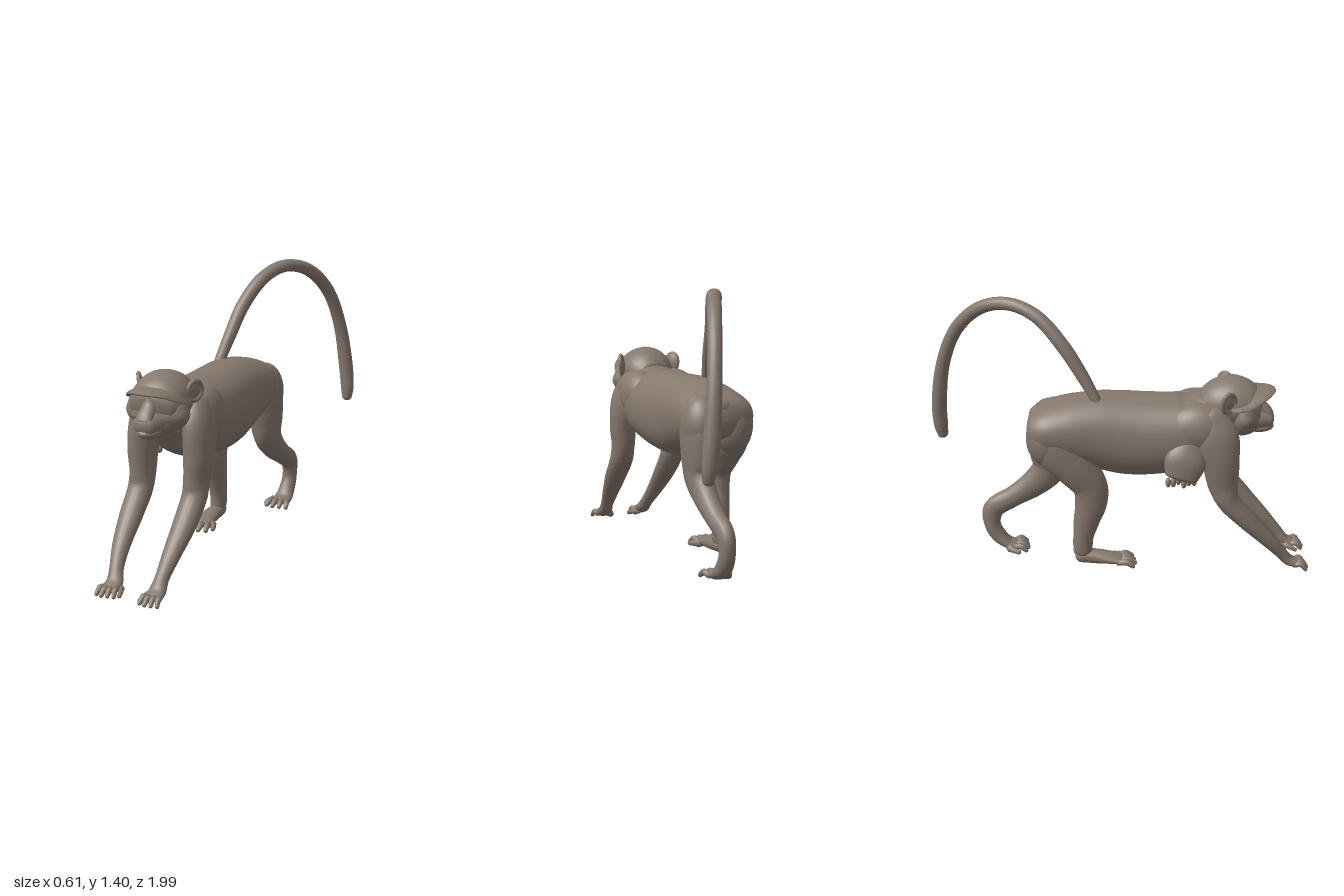
import * as THREE from 'three';

const fur = new THREE.MeshStandardMaterial({ color: 0x85786d });
fur.name = 'greyBrownFur';
const MID = -0.045; // centre line of the body in x

function add(group, name, geometry) {
  const mesh = new THREE.Mesh(geometry, fur);
  mesh.name = name;
  group.add(mesh);
  return mesh;
}

// Smooth skin through oval stations [x, y, z, half width, half depth], with rounded ends.
function loft(stations, sides = 20, steps = 5, cap = 0.8, square = 1) {
  const curve = new THREE.CatmullRomCurve3(stations.map(s => new THREE.Vector3(s[0], s[1], s[2])));
  const sizes = new THREE.CatmullRomCurve3(stations.map(s => new THREE.Vector3(s[3], s[4], 0)));
  const n = (stations.length - 1) * steps;
  const pos = [], index = [], rings = [];
  const round = v => Math.sign(v) * Math.abs(v) ** square;
  for (const k of [0.02, 0.35, 0.7, 0.92]) rings.push([0, k, -1]);
  for (let i = 0; i <= n; i++) rings.push([i / n, 1, 0]);
  for (const k of [0.92, 0.7, 0.35, 0.02]) rings.push([1, k, 1]);
  for (const [t, k, end] of rings) {
    const c = curve.getPoint(t), r = sizes.getPoint(t), T = curve.getTangent(t);
    const S = new THREE.Vector3(1, 0, 0).addScaledVector(T, -T.x).normalize();
    const U = new THREE.Vector3().crossVectors(T, S);
    c.addScaledVector(T, end * cap * Math.min(r.x, r.y) * Math.sqrt(1 - k * k));
    for (let j = 0; j < sides; j++) {
      const a = j / sides * Math.PI * 2;
      const p = c.clone().addScaledVector(S, r.x * k * round(Math.cos(a)))
        .addScaledVector(U, r.y * k * round(Math.sin(a)));
      pos.push(p.x, p.y, p.z);
    }
  }
  for (let i = 0; i < rings.length - 1; i++)
    for (let j = 0; j < sides; j++) {
      const a = i * sides + j, b = i * sides + (j + 1) % sides;
      index.push(a, b, b + sides, a, b + sides, a + sides);
    }
  const g = new THREE.BufferGeometry();
  g.setAttribute('position', new THREE.Float32BufferAttribute(pos, 3));
  g.setIndex(index);
  g.computeVertexNormals();
  return g;
}

function blob(group, name, center, radii, rotX = 0, rotZ = 0) {
  const m = add(group, name, new THREE.SphereGeometry(1, 28, 18));
  m.position.set(...center);
  m.scale.set(...radii);
  m.rotation.set(rotX, 0, rotZ);
  return m;
}

// Four knuckled digits fanning forward, and a thumb on the inner side.
function digits(group, name, x, y, z, length, spread, r, inner, floor) {
  for (let i = 0; i < 4; i++) {
    const f = (i - 1.5) / 1.5, l = length * (1 - 0.2 * Math.abs(f + 0.2));
    add(group, name, loft([
      [x + f * spread * 0.65, y, z - 0.01, r, r],
      [x + f * spread * 0.85, y + 0.01, z + l * 0.45, r * 1.1, r * 1.1],
      [x + f * spread, floor + r, z + l, r * 0.75, r * 0.75]], 8, 3));
  }
  add(group, name + 'Thumb', loft([
    [x + inner * spread * 0.5, y, z - 0.045, r, r],
    [x + inner * spread * 1.1, y - 0.004, z - 0.015, r, r],
    [x + inner * spread * 1.35, floor + r, z + 0.02, r * 0.8, r * 0.8]], 8, 3));
}

function buildHead() {
  const head = new THREE.Group();
  head.name = 'head';
  add(head, 'skull', loft([
    [MID, 0.88, 0.44, 0.10, 0.085], [MID, 0.895, 0.50, 0.132, 0.118], [MID, 0.9, 0.57, 0.145, 0.133],
    [MID, 0.885, 0.64, 0.143, 0.118], [MID, 0.87, 0.69, 0.12, 0.085]], 28, 5, 0.3));
  // Broad flat face with cheek fur, narrowing to the chin
  add(head, 'face', loft([
    [MID, 0.945, 0.635, 0.125, 0.065], [MID, 0.89, 0.63, 0.155, 0.08], [MID, 0.845, 0.632, 0.168, 0.085],
    [MID, 0.805, 0.64, 0.15, 0.085], [MID, 0.775, 0.655, 0.105, 0.08]], 32, 5, 0.45));
  // Brow: a flat visor whose sides droop
  const brow = new THREE.SphereGeometry(1, 32, 16);
  const p = brow.attributes.position;
  for (let i = 0; i < p.count; i++) {
    const x = p.getX(i) * 0.155, z = p.getZ(i) * 0.185;
    p.setXYZ(i, MID + x, 0.95 + p.getY(i) * 0.024 - 80 * x ** 4 - 0.4 * x * x + z * 0.07, 0.605 + z);
  }
  brow.computeVertexNormals();
  add(head, 'brow', brow);
  add(head, 'nose', loft([
    [MID, 0.935, 0.69, 0.035, 0.03], [MID, 0.89, 0.71, 0.036, 0.028],
    [MID, 0.85, 0.75, 0.042, 0.025], [MID, 0.832, 0.768, 0.04, 0.018]], 16));
  add(head, 'muzzle', loft([
    [MID, 0.815, 0.64, 0.10, 0.06], [MID, 0.81, 0.71, 0.078, 0.056], [MID, 0.806, 0.765, 0.058, 0.044]], 22, 5, 0.5));
  blob(head, 'jaw', [MID, 0.77, 0.71], [0.062, 0.032, 0.078]);
  for (const s of [-1, 1]) {
    // Cupped ear turned partly forward
    const ear = new THREE.Group();
    ear.name = 'ear';
    blob(ear, 'earCup', [0, 0, -0.004], [0.042, 0.052, 0.014]);
    const rim = add(ear, 'earRim', new THREE.TorusGeometry(0.038, 0.011, 10, 28));
    rim.scale.set(1, 1.25, 1);
    ear.position.set(MID + s * 0.15, 0.943, 0.545);
    ear.rotation.set(0, s * 1.05, -s * 0.12, 'ZYX');
    head.add(ear);
  }
  return head;
}

function buildArm(s) {
  const arm = new THREE.Group();
  arm.name = s > 0 ? 'leftArm' : 'rightArm';
  const X = d => MID + s * d;
  const handX = s > 0 ? 0.085 : -0.15;
  add(arm, 'armLimb', loft([
    [X(0.115), 0.85, 0.45, 0.07, 0.09], [X(0.145), 0.75, 0.485, 0.075, 0.118], [X(0.155), 0.62, 0.515, 0.071, 0.094],
    [X(0.15), 0.50, 0.53, 0.062, 0.077], [X(0.15), 0.42, 0.555, 0.064, 0.06], [X(0.148), 0.31, 0.65, 0.06, 0.05],
    [X(0.138), 0.19, 0.765, 0.046, 0.038], [(X(0.132) + handX) / 2, 0.10, 0.845, 0.036, 0.03],
    [handX, 0.053, 0.885, 0.044, 0.027], [handX, 0.038, 0.925, 0.046, 0.02]]));
  digits(arm, 'finger', handX, 0.034, 0.925, 0.058, 0.046, 0.014, -s, 0.003);
  return arm;
}

function buildLegs() {
  const legs = new THREE.Group();
  legs.name = 'hindLegs';
  // Left leg pushes off behind
  add(legs, 'leftLeg', loft([
    [0.03, 0.81, -0.32, 0.085, 0.09], [0.045, 0.70, -0.345, 0.092, 0.122], [0.05, 0.58, -0.355, 0.085, 0.113],
    [0.055, 0.48, -0.365, 0.07, 0.092], [0.055, 0.39, -0.445, 0.058, 0.073], [0.055, 0.31, -0.56, 0.05, 0.056],
    [0.052, 0.24, -0.665, 0.042, 0.056], [0.05, 0.15, -0.675, 0.04, 0.044],
    [0.05, 0.08, -0.64, 0.044, 0.04], [0.05, 0.04, -0.59, 0.052, 0.027], [0.05, 0.034, -0.55, 0.053, 0.019]]));
  digits(legs, 'leftToe', 0.05, 0.03, -0.55, 0.068, 0.058, 0.016, -1, 0.003);
  // Right leg stands under the body
  add(legs, 'rightLeg', loft([
    [-0.13, 0.81, -0.30, 0.09, 0.09], [-0.145, 0.69, -0.30, 0.092, 0.13], [-0.15, 0.58, -0.22, 0.085, 0.11],
    [-0.15, 0.47, -0.145, 0.068, 0.09], [-0.15, 0.38, -0.14, 0.06, 0.083], [-0.15, 0.27, -0.165, 0.052, 0.067],
    [-0.15, 0.17, -0.183, 0.044, 0.052], [-0.15, 0.10, -0.185, 0.042, 0.05]]));
  add(legs, 'rightFoot', loft([
    [-0.15, 0.072, -0.195, 0.039, 0.038], [-0.15, 0.067, -0.12, 0.045, 0.037],
    [-0.152, 0.06, -0.04, 0.053, 0.028], [-0.155, 0.055, 0.01, 0.055, 0.02]]));
  digits(legs, 'rightToe', -0.155, 0.05, 0.01, 0.08, 0.06, 0.016, 1, 0.025);
  return legs;
}

export function createModel() {
  const model = new THREE.Group();
  model.name = 'walkingMonkey';

  add(model, 'torso', loft([
    [MID - 0.005, 0.765, -0.425, 0.15, 0.095], [MID - 0.01, 0.765, -0.36, 0.18, 0.128], [MID - 0.008, 0.76, -0.25, 0.188, 0.163],
    [MID - 0.003, 0.745, -0.1, 0.19, 0.198], [MID, 0.725, 0.05, 0.197, 0.213], [MID, 0.725, 0.2, 0.203, 0.207],
    [MID, 0.745, 0.35, 0.203, 0.192], [MID, 0.785, 0.45, 0.18, 0.16], [MID, 0.82, 0.54, 0.125, 0.115]], 40, 5, 0.4, 0.92));
  // Neck joins the head to the back
  add(model, 'neck', loft([[MID, 0.8, 0.36, 0.14, 0.125], [MID, 0.83, 0.44, 0.145, 0.118], [MID, 0.86, 0.53, 0.13, 0.105]], 28));

  // Rump and shoulders
  for (const s of [-1, 1]) {
    blob(model, 'buttock', [MID + s * 0.085, 0.725, -0.355], [0.1, 0.15, 0.113]);
    blob(model, 'shoulder', [MID + s * 0.105, 0.79, 0.40], [0.105, 0.135, 0.17]);
  }
  blob(model, 'rumpLobe', [MID, 0.825, -0.415], [0.06, 0.045, 0.04], 0.5);

  model.add(buildHead(), buildArm(1), buildArm(-1), buildLegs());

  // Loose fold of fur on the right flank, with a ragged hem
  add(model, 'flankFold', loft([
    [-0.215, 0.73, 0.36, 0.035, 0.07], [-0.245, 0.65, 0.335, 0.048, 0.105], [-0.265, 0.575, 0.315, 0.034, 0.085]], 20, 5, 0.6));
  for (let i = 0; i < 6; i++)
    blob(model, 'foldTuft', [-0.262 + 0.014 * (i % 3), 0.545 - 0.006 * (i % 2), 0.25 + i * 0.026], [0.018, 0.026, 0.014]);

  // Arched tail
  add(model, 'tail', loft([
    [-0.105, 0.92, -0.11, 0.028, 0.025], [-0.08, 1.05, -0.185, 0.033, 0.032], [-0.05, 1.2, -0.285, 0.036, 0.035],
    [0.005, 1.325, -0.41, 0.036, 0.034], [0.065, 1.37, -0.55, 0.036, 0.033], [0.135, 1.33, -0.70, 0.035, 0.034],
    [0.195, 1.2, -0.835, 0.034, 0.035], [0.235, 1.0, -0.92, 0.035, 0.036], [0.263, 0.76, -0.957, 0.039, 0.04],
    [0.276, 0.63, -0.957, 0.036, 0.038], [0.278, 0.575, -0.95, 0.027, 0.029]], 18, 6));
  return model;
}
